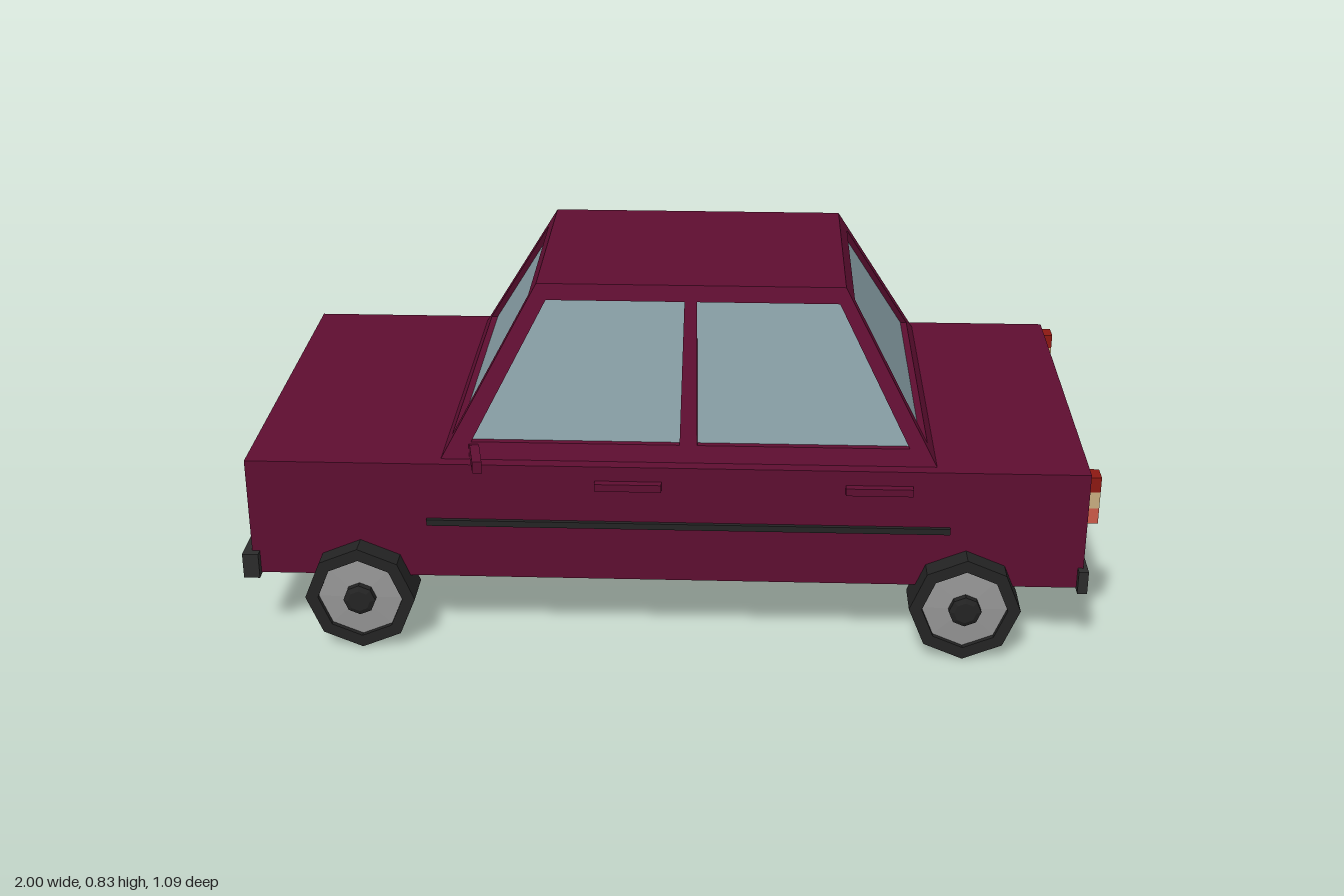
import * as THREE from 'three';

const mat = (color) => new THREE.MeshStandardMaterial({ color, flatShading: true });
const paint = mat(0x5e0e31), dark = mat(0x2b2b2b), rubber = mat(0x232323), hubGrey = mat(0x959595);
const glass = mat(0x859ba2), lamp = mat(0xc8ad80), red = mat(0x8c1812), amber = mat(0xcc5a48);
glass.side = THREE.DoubleSide;

// Cabin: lower and upper edges
const Y0 = 0.46, Y1 = 0.835;
const BASE = { front: -0.525, back: 0.625, side: 0.44 };
const ROOF = { front: -0.31, back: 0.41, side: 0.272 };

function add(parent, name, geometry, material) {
  const mesh = new THREE.Mesh(geometry, material);
  mesh.name = name;
  parent.add(mesh);
  return mesh;
}

// Box given by its limits on each axis
function box(parent, name, material, [x0, x1], [y0, y1], [z0, z1]) {
  const mesh = add(parent, name, new THREE.BoxGeometry(x1 - x0, y1 - y0, z1 - z0), material);
  mesh.position.set((x0 + x1) / 2, (y0 + y1) / 2, (z0 + z1) / 2);
}

const points = (list) => list.map(([x, y]) => new THREE.Vector2(x, y));

// Lean a geometry drawn in the xy plane: z follows the height
function lean(geometry, zBase, zTop) {
  const p = geometry.attributes.position;
  for (let i = 0; i < p.count; i++) {
    p.setZ(i, p.getZ(i) + zBase + (zTop - zBase) * (p.getY(i) - Y0) / (Y1 - Y0));
  }
  geometry.computeVertexNormals();
  return geometry;
}

// One leaning cabin wall: a frame with openings and recessed panes
function cabinWall(name, outline, openings, zBase, zTop) {
  const wall = new THREE.Group();
  wall.name = name;
  const depth = 0.022;
  const shape = new THREE.Shape(points(outline));
  shape.holes = openings.map((o) => new THREE.Path(points(o)));
  const frame = new THREE.ExtrudeGeometry(shape, { depth, bevelEnabled: false });
  add(wall, 'windowFrame', lean(frame.translate(0, 0, -depth), zBase, zTop), paint);
  for (const o of openings) {
    const pane = new THREE.ShapeGeometry(new THREE.Shape(points(o))).translate(0, 0, -0.016);
    add(wall, 'windowPane', lean(pane, zBase, zTop), glass);
  }
  return wall;
}

function createCabin() {
  const cabin = new THREE.Group();
  cabin.name = 'cabin';

  // Side walls, drawn in x and y; the far one is mirrored in x then turned
  for (const s of [1, -1]) {
    const m = (list) => list.map(([x, y]) => [x * s, y]);
    const wall = cabinWall('sideWall',
      m([[BASE.front, Y0], [BASE.back, Y0], [ROOF.back, Y1], [ROOF.front, Y1]]),
      [m([[-0.455, 0.497], [0.03, 0.497], [0.036, 0.8], [-0.287, 0.8]]),
        m([[0.071, 0.497], [0.562, 0.497], [0.396, 0.8], [0.065, 0.8]])],
      BASE.side, ROOF.side);
    if (s < 0) wall.rotation.y = Math.PI;
    cabin.add(wall);
  }

  // Windscreen and rear window
  for (const [name, key, s] of [['windscreenWall', 'front', -1], ['rearWindowWall', 'back', 1]]) {
    const wall = cabinWall(name,
      [[-BASE.side, Y0], [BASE.side, Y0], [ROOF.side, Y1], [-ROOF.side, Y1]],
      [[[-0.38, 0.495], [0.38, 0.495], [0.247, 0.797], [-0.247, 0.797]]],
      s * BASE[key], s * ROOF[key]);
    wall.rotation.y = s * Math.PI / 2;
    cabin.add(wall);
  }

  box(cabin, 'roof', paint, [ROOF.front, ROOF.back], [Y1 - 0.02, Y1], [-ROOF.side, ROOF.side]);
  return cabin;
}

// Eight-sided wheel whose outer face looks along +z
function createWheel() {
  const wheel = new THREE.Group();
  wheel.name = 'wheel';
  const lathe = (name, profile, material) => {
    const g = new THREE.LatheGeometry(points(profile), 8);
    add(wheel, name, g.rotateX(Math.PI / 2), material);
  };
  lathe('tyre', [[0, -0.048], [0.13, -0.048], [0.13, 0.048], [0.1, 0.048], [0.1, 0.034]], rubber);
  lathe('hub', [[0.1, 0.036], [0.04, 0.04], [0, 0.04]], hubGrey);
  lathe('hubCap', [[0.038, 0.036], [0.038, 0.056], [0.026, 0.062], [0, 0.062]], rubber);
  return wheel;
}

// Door mirror, swept backwards towards its tip; s is the side of the car
function mirrorGeometry(s) {
  const shape = new THREE.Shape(points(
    [[0.42, 0.465], [0.47, 0.468], [0.546, 0.475], [0.546, 0.504], [0.475, 0.511], [0.42, 0.49]]
      .map(([z, y]) => [s * z, y])));
  const g = new THREE.ExtrudeGeometry(shape, { depth: 0.022, bevelEnabled: false });
  g.rotateY(-Math.PI / 2);
  const p = g.attributes.position;
  for (let i = 0; i < p.count; i++) {
    p.setX(i, p.getX(i) - 0.438 + (Math.abs(p.getZ(i)) - 0.43) * 0.2);
  }
  g.computeVertexNormals();
  return g;
}

export function createModel() {
  const car = new THREE.Group();
  car.name = 'car';

  box(car, 'body', paint, [-0.98, 0.975], [0.168, Y0], [-0.47, 0.47]);
  car.add(createCabin());

  // Nose and tail
  box(car, 'frontBumper', dark, [-1, -0.962], [0.163, 0.225], [-0.49, 0.49]);
  box(car, 'rearBumper', dark, [0.962, 0.985], [0.163, 0.22], [-0.49, 0.49]);
  box(car, 'grille', dark, [-0.988, -0.97], [0.265, 0.37], [-0.2, 0.2]);

  for (const s of [1, -1]) {
    const span = (a, b) => (s > 0 ? [a, b] : [-b, -a]);

    // Lamps
    box(car, 'headlight', lamp, [-0.988, -0.97], [0.32, 0.42], span(0.36, 0.44));
    const lights = [[red, 0.413, 0.45], [lamp, 0.372, 0.413], [amber, 0.333, 0.372]];
    for (const [m, y0, y1] of lights) {
      box(car, 'tailLight', m, [0.97, 1], [y0, y1], span(0.415, 0.461));
    }

    // Side trim and door handles
    box(car, 'sideTrim', rubber, [-0.56, 0.66], [0.305, 0.32], span(0.46, 0.48));
    for (const x of [-0.165, 0.415]) {
      box(car, 'doorHandle', paint, [x, x + 0.155], [0.406, 0.424], span(0.46, 0.489));
    }

    add(car, 'doorMirror', mirrorGeometry(s), paint);

    // Wheels
    for (const x of [-0.72, 0.7]) {
      const wheel = createWheel();
      wheel.position.set(x, 0.13, s * 0.473);
      if (s < 0) wheel.rotation.y = Math.PI;
      car.add(wheel);
    }
  }
  return car;
}
